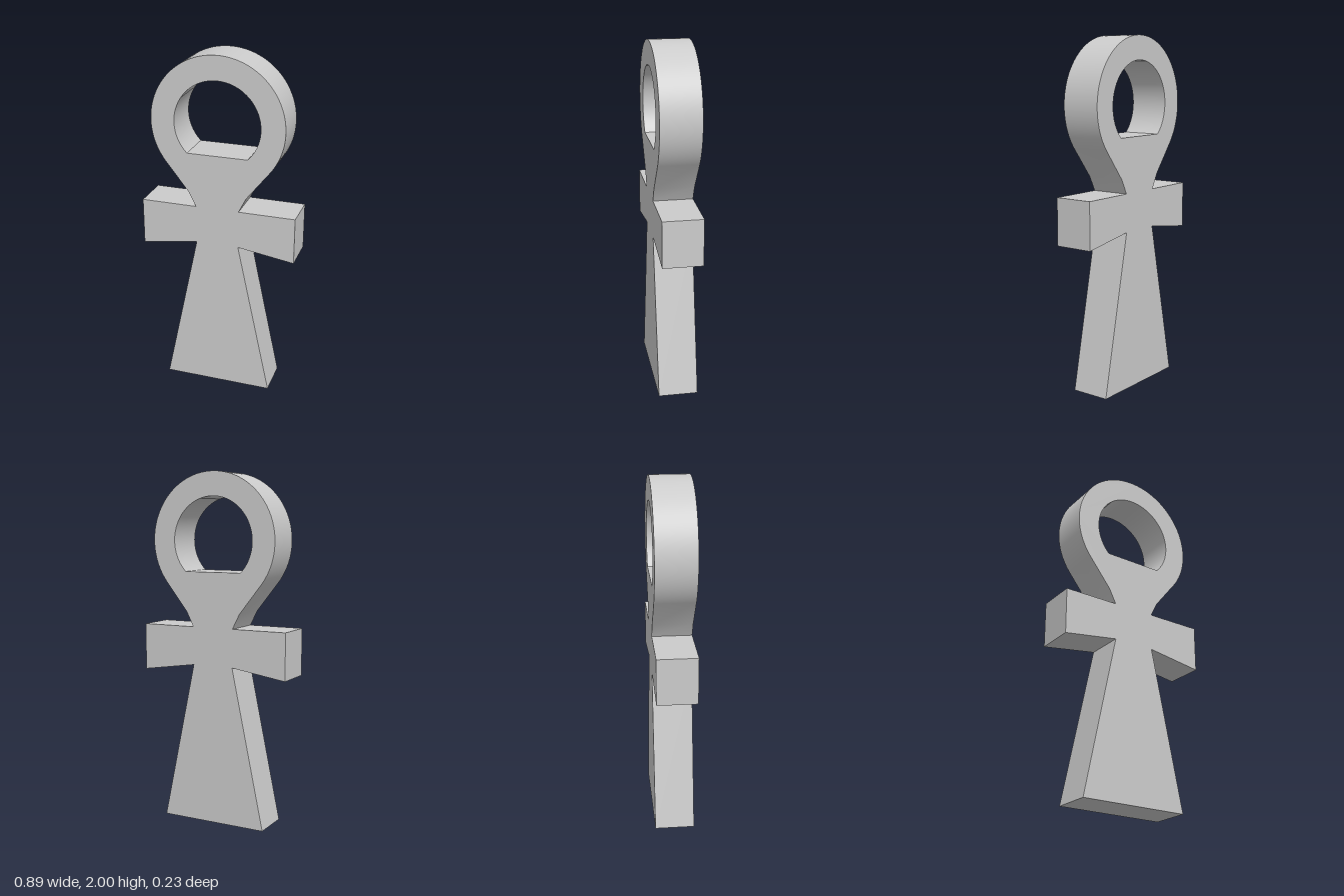
import * as THREE from 'three';
import { toCreasedNormals } from 'three/addons/utils/BufferGeometryUtils.js';

const DEPTH = 0.226;
const CENTER_Y = 1.62; // centre of the ring at the top
const OUTER_R = 0.38;
const INNER_R = 0.245;

export function createModel() {
  const group = new THREE.Group();
  group.name = 'loopedCross';

  // Right-hand outline from the foot up to where the ring begins
  const side = [
    [0.317, 0], [0.123, 0.917], [0.447, 0.868], [0.447, 1.135], [0.125, 1.135], [0.168, 1.22],
  ];
  const shape = new THREE.Shape();
  shape.moveTo(...side[0]);
  side.slice(1).forEach(([x, y]) => shape.lineTo(x, y));

  // Outer ring, leaving the flanks at a tangent
  const a = THREE.MathUtils.degToRad(-37);
  shape.absarc(0, CENTER_Y, OUTER_R, a, Math.PI - a, false);

  // Mirrored outline back down
  [...side].reverse().forEach(([x, y]) => shape.lineTo(-x, y));
  shape.closePath();

  // Teardrop opening: an arc closed by two tangents meeting in a point
  const b = -Math.PI / 4;
  const hole = new THREE.Path();
  hole.moveTo(0, 1.274);
  hole.absarc(0, CENTER_Y, INNER_R, b, Math.PI - b, false);
  hole.closePath();
  shape.holes.push(hole);

  const geometry = new THREE.ExtrudeGeometry(shape, {
    depth: DEPTH, bevelEnabled: false, curveSegments: 48,
  });
  geometry.translate(0, 0, -DEPTH / 2);

  const body = new THREE.Mesh(
    toCreasedNormals(geometry, THREE.MathUtils.degToRad(20)),
    new THREE.MeshStandardMaterial({ color: 0xcccccc }),
  );
  body.name = 'loopCrossbarAndStem';
  group.add(body);
  return group;
}
